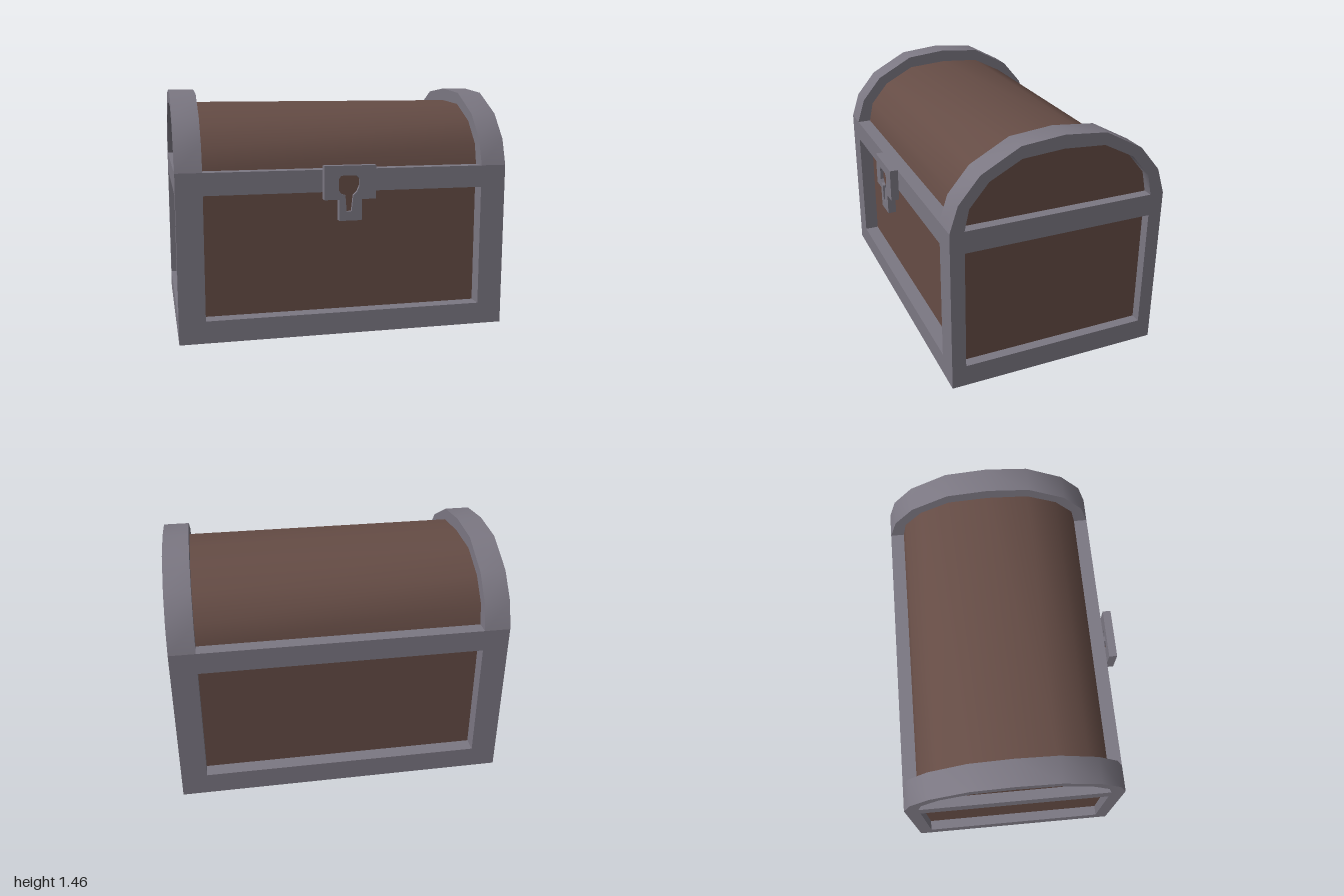
import * as THREE from 'three';
import { toCreasedNormals } from 'three/addons/utils/BufferGeometryUtils.js';

const iron = new THREE.MeshStandardMaterial({ color: 0x7b7782, side: THREE.DoubleSide });
iron.name = 'iron grey';
const wood = new THREE.MeshStandardMaterial({ color: 0x654c45, side: THREE.DoubleSide });
wood.name = 'wood brown';

const HALF_W = 1, HALF_D = 0.66, BAND_X = 0.845, INNER_D = 0.575, RIM_Y = 1;

// Mirrors half an arch (base to peak) into a full one
const fullArch = (half) => [...half, ...half.slice(0, -1).reverse().map(([x, y]) => [-x, y])];
const outerArch = fullArch([[HALF_D, RIM_Y], [0.61, 1.155], [0.485, 1.305], [0.255, 1.43], [0, 1.455]]);
const innerArch = fullArch([[INNER_D, RIM_Y], [0.548, 1.125], [0.435, 1.26], [0.248, 1.358], [0, 1.376]]);
const rect = (w, y0, y1) => [[w, y0], [w, y1], [-w, y1], [-w, y0]];

const toShape = (pts) => new THREE.Shape(pts.map(([x, y]) => new THREE.Vector2(x, y)));

function mesh(name, geometry, material, parent) {
  const m = new THREE.Mesh(geometry, material);
  m.name = name;
  parent.add(m);
  return m;
}

// Surface swept along z from z0 to z1 following a line of xy points
function strip(pts, z0, z1, closed = false) {
  const line = closed ? [...pts, pts[0]] : pts;
  const pos = [], idx = [];
  line.forEach(([x, y], i) => {
    pos.push(x, y, z0, x, y, z1);
    if (i) {
      const a = 2 * i - 2;
      idx.push(a, a + 2, a + 1, a + 1, a + 2, a + 3);
    }
  });
  const g = new THREE.BufferGeometry();
  g.setAttribute('position', new THREE.Float32BufferAttribute(pos, 3));
  g.setIndex(idx);
  return toCreasedNormals(g, 0.8);
}

// Iron frame facing +z with sunken wooden panels in its openings
function wall(name, outline, openings, depth) {
  const g = new THREE.Group();
  g.name = name;
  const shape = toShape(outline);
  openings.forEach((o) => shape.holes.push(toShape(o)));
  mesh(name + 'Frame', new THREE.ShapeGeometry(shape), iron, g);
  openings.forEach((o) => {
    mesh(name + 'Reveal', strip(o, -depth, 0, true), iron, g);
    mesh(name + 'Panel', new THREE.ShapeGeometry(toShape(o)), wood, g).position.z = -depth;
  });
  return g;
}

export function createModel() {
  const model = new THREE.Group();
  model.name = 'chest';
  const chest = new THREE.Group();
  chest.name = 'chestShell';
  chest.position.z = -0.03;
  model.add(chest);

  // Front and back walls
  [['front', 1], ['back', -1]].forEach(([name, s]) => {
    const w = wall(name, rect(HALF_W, 0, RIM_Y), [rect(BAND_X, 0.133, 0.868)], 0.09);
    w.position.z = s * HALF_D;
    w.rotation.y = s > 0 ? 0 : Math.PI;
    chest.add(w);
  });

  // Arched end walls
  const endOutline = [[-HALF_D, 0], [HALF_D, 0], ...outerArch];
  [['leftEnd', 1], ['rightEnd', -1]].forEach(([name, s]) => {
    const w = wall(name, endOutline, [rect(INNER_D, 0.133, 0.868), innerArch], 0.06);
    w.position.x = s * HALF_W;
    w.rotation.y = s * Math.PI / 2;
    chest.add(w);
  });

  // Lid: barrel, iron bands and the ledges along the rim
  const lid = new THREE.Group();
  lid.name = 'lid';
  lid.rotation.y = Math.PI / 2;
  chest.add(lid);
  mesh('lidBarrel', strip(innerArch, -BAND_X, BAND_X), wood, lid);
  const bandFace = toShape([...outerArch, ...[...innerArch].reverse()]);
  for (const s of [1, -1]) {
    mesh('lidBand', strip(outerArch, s > 0 ? BAND_X : -HALF_W, s > 0 ? HALF_W : -BAND_X), iron, lid);
    mesh('lidBandInnerFace', new THREE.ShapeGeometry(bandFace), iron, lid).position.z = s * BAND_X;
    const ledge = s > 0 ? [[HALF_D, RIM_Y], [INNER_D, RIM_Y]] : [[-INNER_D, RIM_Y], [-HALF_D, RIM_Y]];
    mesh('rimLedge', strip(ledge, -BAND_X, BAND_X), iron, lid);
  }

  // Lock plate with a keyhole
  const plate = toShape([[-0.155, 1.028], [-0.155, 0.83], [-0.066, 0.83], [-0.066, 0.705],
    [0.069, 0.705], [0.069, 0.83], [0.155, 0.83], [0.155, 1.028]]);
  const keyhole = toShape([[-0.055, 0.97], [-0.07, 0.95], [-0.07, 0.885], [-0.055, 0.865], [-0.03, 0.855],
    [-0.022, 0.76], [0.008, 0.76], [0.018, 0.855], [0.04, 0.875], [0.055, 0.91], [0.055, 0.95], [0.035, 0.97]]);
  plate.holes.push(keyhole);
  const lock = new THREE.Group();
  lock.name = 'lock';
  lock.position.z = 0.645;
  model.add(lock);
  mesh('lockPlate', new THREE.ExtrudeGeometry(plate, { depth: 0.05, bevelEnabled: false }), iron, lock);
  mesh('keyhole', new THREE.ShapeGeometry(keyhole), wood, lock).position.z = 0.03;

  return model;
}
